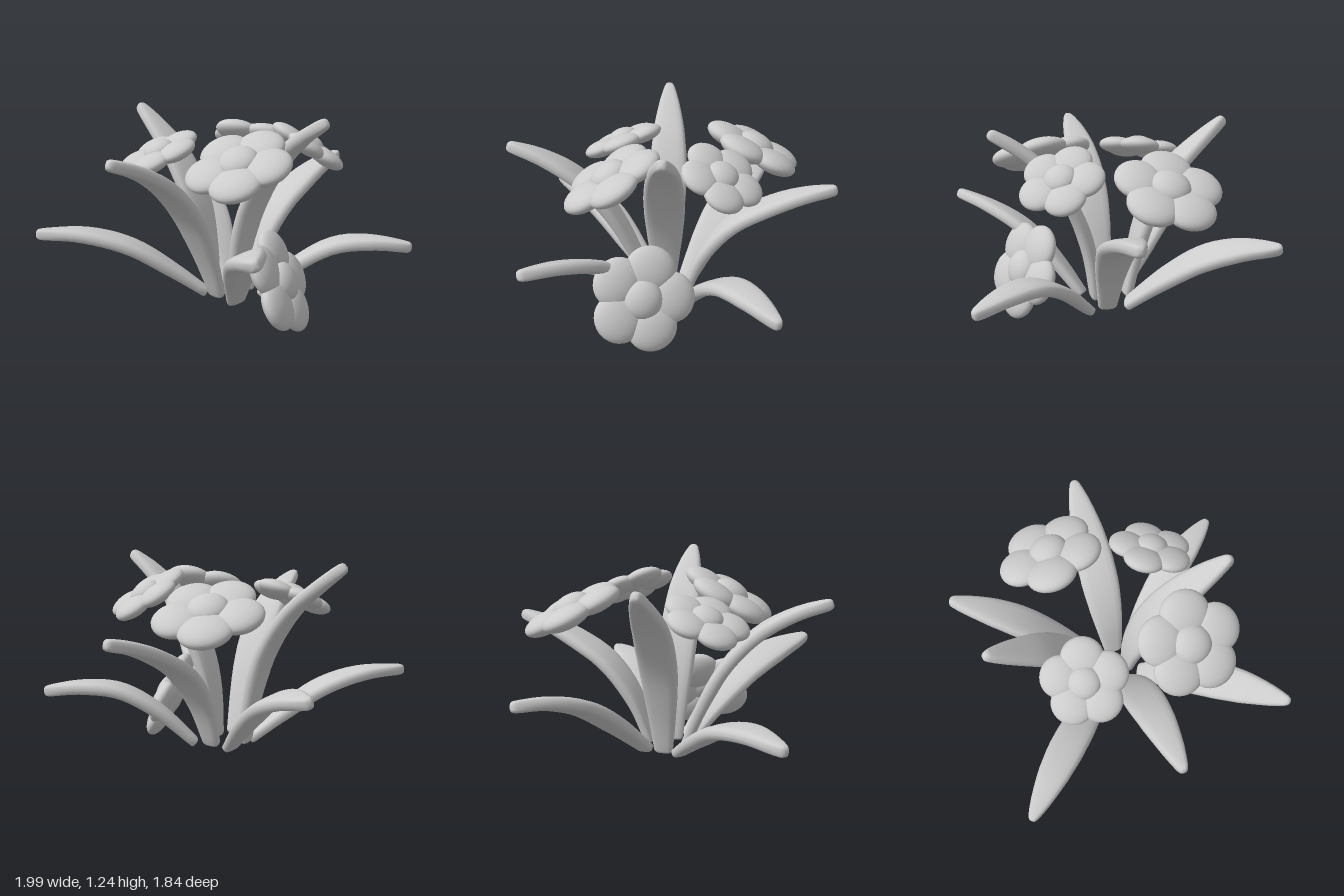
import * as THREE from 'three';

const grey = new THREE.MeshStandardMaterial({ color: 0xcccccc });
grey.name = 'soft grey';

// Piecewise-linear lookup in [t, value] pairs
function ramp(stops, t) {
  for (let i = 1; i < stops.length; i++) {
    const [t0, a] = stops[i - 1], [t1, b] = stops[i];
    if (t <= t1) return a + (b - a) * (t - t0) / (t1 - t0);
  }
  return stops[stops.length - 1][1];
}

const WIDTH = [[0, 0.115], [0.15, 0.16], [0.3, 0.205], [0.45, 0.235], [0.6, 0.235], [0.75, 0.2], [0.88, 0.14], [0.96, 0.085], [1, 0.055]];
const THICK = [[0, 0.06], [0.3, 0.085], [0.7, 0.085], [1, 0.07]];

// Curved blade: rounded slab cross-section swept along a spine from base to tip.
// arc holds [fraction of the way out, height]; roll turns the blade about its spine.
function makeLeaf(base, tip, arc, width, roll) {
  const pts = arc.map(([f, y]) => new THREE.Vector3(
    base[0] + (tip[0] - base[0]) * f, y, base[1] + (tip[1] - base[1]) * f));
  const curve = new THREE.CatmullRomCurve3(pts);
  const level = new THREE.Vector3(tip[1] - base[1], 0, base[0] - tip[0]).normalize();
  const rows = [[0, 0], [0, 0.85], [0.012, 1]];
  for (let i = 1; i <= 18; i++) rows.push([i / 19, 1]);
  rows.push([0.98, 0.95], [0.993, 0.8], [1, 0.5], [1, 0]);
  const n = 16, pos = [], index = [];
  rows.forEach(([t, s], i) => {
    const p = curve.getPointAt(t), tan = curve.getTangentAt(t);
    const side = level.clone().applyAxisAngle(tan, roll);
    const up = new THREE.Vector3().crossVectors(tan, side).normalize();
    const w = ramp(WIDTH, t) * width * s / 2, h = ramp(THICK, t) * s / 2;
    for (let j = 0; j < n; j++) {
      const a = j / n * Math.PI * 2, c = Math.cos(a), d = Math.sin(a);
      const u = Math.sign(c) * Math.pow(Math.abs(c), 0.7) * w;
      const v = Math.sign(d) * Math.pow(Math.abs(d), 0.6) * h;
      pos.push(p.x + side.x * u + up.x * v, p.y + side.y * u + up.y * v, p.z + side.z * u + up.z * v);
      if (i < rows.length - 1) {
        const a0 = i * n + j, b0 = i * n + (j + 1) % n;
        index.push(a0, b0, a0 + n, b0, b0 + n, a0 + n);
      }
    }
  });
  const geo = new THREE.BufferGeometry();
  geo.setAttribute('position', new THREE.Float32BufferAttribute(pos, 3));
  geo.setIndex(index);
  geo.computeVertexNormals();
  return new THREE.Mesh(geo, grey);
}

// Five overlapping round petals and a domed centre, facing along normal
const ball = new THREE.SphereGeometry(1, 28, 18);
function makeFlower(center, radius, normal, firstAngle) {
  const flower = new THREE.Group();
  for (let i = 0; i < 5; i++) {
    const a = THREE.MathUtils.degToRad(firstAngle + i * 72);
    const petal = new THREE.Mesh(ball, grey);
    petal.name = 'petal';
    petal.scale.set(0.44 * radius, 0.2 * radius, 0.475 * radius);
    petal.position.set(Math.cos(a) * 0.56 * radius, 0, -Math.sin(a) * 0.56 * radius);
    petal.rotation.y = a;
    flower.add(petal);
  }
  const heart = new THREE.Mesh(ball, grey);
  heart.name = 'flowerCentre';
  heart.scale.set(0.37 * radius, 0.22 * radius, 0.37 * radius);
  heart.position.y = 0.08 * radius;
  flower.add(heart);
  flower.position.set(...center);
  flower.quaternion.setFromUnitVectors(new THREE.Vector3(0, 1, 0), new THREE.Vector3(...normal).normalize());
  return flower;
}

export function createModel() {
  const model = new THREE.Group();
  model.name = 'floweringPlant';

  // Leaves: base [x, z], tip [x, z], arc, width factor, roll
  const leaves = {
    backRightLeaf: [[-0.11, -0.15], [-0.82, -0.915], [[0, 0.06], [0.2, 0.21], [0.45, 0.37], [0.72, 0.45], [1, 0.46]], 0.95, 0],
    backLeaf: [[-0.02, -0.17], [-0.02, -0.8], [[0, 0.07], [0.06, 0.3], [0.21, 0.63], [0.47, 0.9], [0.74, 1.06], [1, 1.19]], 1, 0],
    backLeftLeaf: [[0.1, -0.13], [0.65, -0.89], [[0, 0.06], [0.25, 0.27], [0.5, 0.44], [0.75, 0.53], [1, 0.565]], 1, 0.3],
    leftLeaf: [[0.1, 0], [0.99, 0.115], [[0, 0.06], [0.12, 0.33], [0.32, 0.56], [0.58, 0.7], [0.8, 0.78], [1, 0.825]], 1.02, 0],
    frontLeftLeaf: [[0.1, 0.12], [0.59, 0.91], [[0, 0.05], [0.25, 0.26], [0.5, 0.39], [0.75, 0.415], [1, 0.39]], 0.9, 0],
    frontLeaf: [[-0.035, 0.04], [-0.035, 0.675], [[0, 0.07], [0.06, 0.38], [0.2, 0.66], [0.46, 0.93], [0.74, 1.1], [1, 1.21]], 1.03, 0],
    frontRightLeaf: [[-0.12, 0.1], [-0.805, 0.775], [[0, 0.06], [0.2, 0.26], [0.45, 0.45], [0.72, 0.55], [1, 0.605]], 1, 0.35],
    rightLeaf: [[-0.13, -0.04], [-0.99, -0.05], [[0, 0.07], [0.13, 0.35], [0.3, 0.62], [0.52, 0.83], [0.77, 0.96], [1, 1.03]], 1, 0],
  };
  for (const [name, args] of Object.entries(leaves)) {
    const leaf = makeLeaf(...args);
    leaf.name = name;
    model.add(leaf);
  }

  // Flowers: centre, radius, facing direction, angle of first petal
  const flowers = {
    backRightFlower: [[-0.305, 0.96, -0.34], 0.26, [-0.34, 0.91, -0.2], 54],
    backLeftFlower: [[0.515, 0.955, -0.225], 0.32, [0.42, 0.9, -0.08], 95],
    frontRightFlower: [[-0.335, 0.97, 0.3], 0.315, [-0.47, 0.87, 0.05], 64],
    frontLeftFlower: [[0.29, 0.995, 0.335], 0.255, [0.4, 0.85, 0.36], 62],
    lowFrontFlower: [[-0.16, 0.275, 0.465], 0.32, [0.27, 0.42, 0.87], 84],
  };
  for (const [name, args] of Object.entries(flowers)) {
    const flower = makeFlower(...args);
    flower.name = name;
    model.add(flower);
  }
  return model;
}
